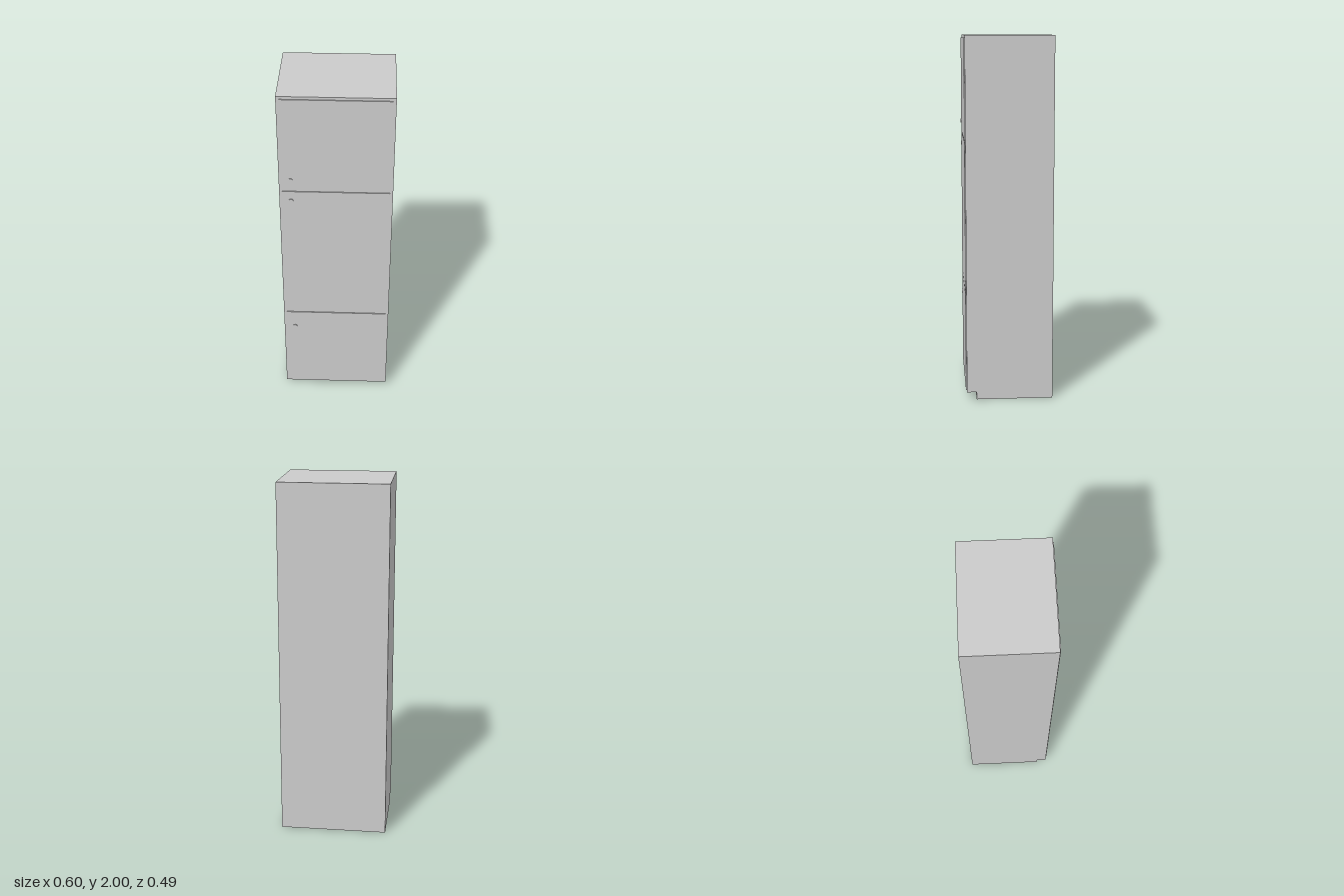
import * as THREE from 'three';

const FRONT = 0.234, BACK = -0.243, HALF_W = 0.3;

export function createModel() {
  const model = new THREE.Group();
  model.name = 'tallCabinet';
  const material = new THREE.MeshStandardMaterial({ color: 0xcccccc });

  const add = (name, geometry, x, y, z) => {
    const mesh = new THREE.Mesh(geometry, material);
    mesh.name = name;
    mesh.position.set(x, y, z);
    model.add(mesh);
    return mesh;
  };

  // Carcass: side outline with a recessed toe kick, extruded across the width
  const outline = new THREE.Shape([
    [-BACK, 0], [-BACK, 2], [-FRONT, 2], [-FRONT, 0.042], [-0.18, 0.042], [-0.18, 0],
  ].map(([z, y]) => new THREE.Vector2(z, y)));
  const carcass = new THREE.ExtrudeGeometry(outline, { depth: HALF_W * 2, bevelEnabled: false });
  carcass.rotateY(Math.PI / 2); // outline x becomes -z
  add('carcass', carcass, -HALF_W, 0, 0);

  // Three thin doors, each with a small round knob on the right-hand side
  const doorDepth = 0.005, knobDepth = 0.004;
  const doors = [
    { name: 'lower', bottom: 0.05, top: 0.595, knobY: 0.487 },
    { name: 'middle', bottom: 0.604, top: 1.436, knobY: 1.378 },
    { name: 'upper', bottom: 1.446, top: 1.985, knobY: 1.508 },
  ];
  for (const { name, bottom, top, knobY } of doors) {
    add(name + 'Door', new THREE.BoxGeometry(0.566, top - bottom, doorDepth),
      0, (bottom + top) / 2, FRONT + doorDepth / 2);
    const knob = new THREE.CylinderGeometry(0.012, 0.012, knobDepth, 24);
    knob.rotateX(Math.PI / 2);
    add(name + 'Knob', knob, -0.238, knobY, FRONT + doorDepth + knobDepth / 2);
  }

  return model;
}
